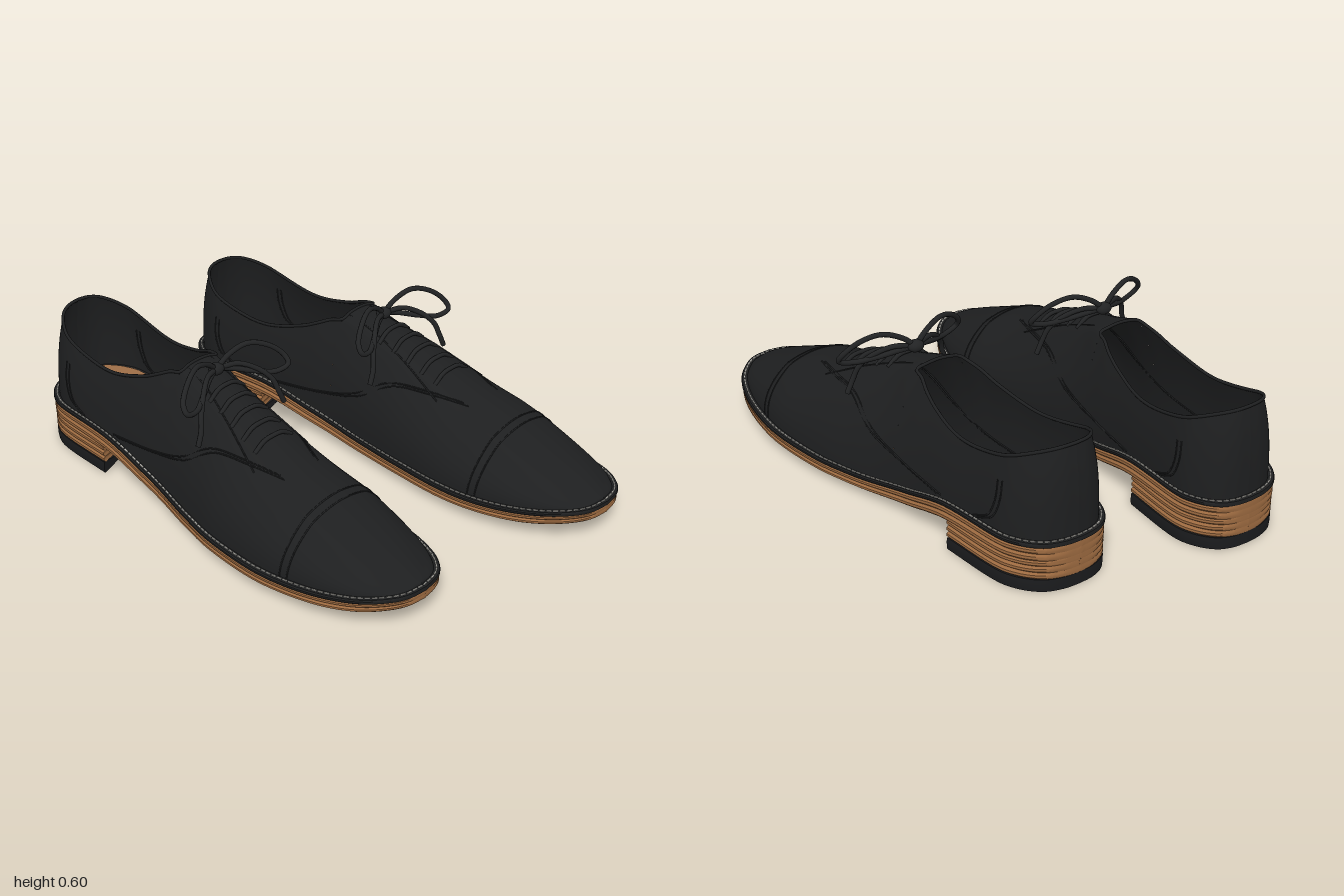
import * as THREE from 'three';
import { mergeGeometries, toCreasedNormals } from 'three/addons/utils/BufferGeometryUtils.js';

const V = (x, y, z) => new THREE.Vector3(x, y, z);
const INSET = 0.02; // upper sits this far inside the welt

function paint(name, color, side = THREE.FrontSide) {
  const m = new THREE.MeshStandardMaterial({ color, side });
  m.name = name;
  return m;
}

// Smooth function through [z, value] pairs
function profile(table) {
  const slope = i => {
    const a = table[Math.max(0, i - 1)], b = table[Math.min(table.length - 1, i + 1)];
    return (b[1] - a[1]) / (b[0] - a[0]);
  };
  return z => {
    const end = table.length - 1;
    if (z <= table[0][0]) return table[0][1];
    if (z >= table[end][0]) return table[end][1];
    let i = 0;
    while (z > table[i + 1][0]) i++;
    const [z0, y0] = table[i], [z1, y1] = table[i + 1], h = z1 - z0, t = (z - z0) / h;
    const e = t * t * (3 - 2 * t);
    return y0 + (y1 - y0) * e + h * t * (1 - t) * ((1 - t) * slope(i) - t * slope(i + 1));
  };
}

// Footprint of one shoe: z, inner x, outer x
const FOOT = [
  [-0.85, 0.3, 0.3], [-0.843, 0.235, 0.368], [-0.815, 0.178, 0.435], [-0.75, 0.133, 0.49],
  [-0.66, 0.116, 0.519], [-0.45, 0.136, 0.535], [-0.24, 0.163, 0.547], [-0.08, 0.175, 0.567],
  [0.08, 0.165, 0.607], [0.24, 0.147, 0.646], [0.45, 0.128, 0.669], [0.6, 0.133, 0.663],
  [0.75, 0.165, 0.636], [0.87, 0.217, 0.59], [0.945, 0.275, 0.53], [0.98, 0.33, 0.474], [0.992, 0.402, 0.402],
];
const foot = new THREE.CatmullRomCurve3(
  FOOT.map(([z, l, r]) => V((l + r) / 2, z, (r - l) / 2)), false, 'catmullrom');

const soleBottom = profile([[-0.85, 0.115], [-0.43, 0.108], [-0.2, 0.06], [0, 0.032], [0.3, 0.031], [0.5, 0.036], [0.78, 0.053], [0.99, 0.085]]);
const weltTop = profile([[-0.85, 0.182], [-0.43, 0.178], [-0.2, 0.125], [0, 0.09], [0.3, 0.085], [0.6, 0.092], [0.8, 0.108], [0.99, 0.132]]);
const collarY = profile([[-0.83, 0.5], [-0.67, 0.445], [-0.53, 0.412], [-0.46, 0.405], [-0.385, 0.41], [-0.255, 0.447], [-0.11, 0.505],
  [0, 0.468], [0.14, 0.422], [0.25, 0.374], [0.41, 0.315], [0.58, 0.27], [0.78, 0.2], [0.9, 0.158], [0.98, 0.13]]);
const ridgeY = profile([[-0.11, 0.52], [0, 0.494], [0.14, 0.453], [0.25, 0.408], [0.41, 0.35], [0.58, 0.3], [0.78, 0.222], [0.9, 0.173], [0.98, 0.132]]);
const collarWidth = profile([[-0.83, 0.78], [-0.7, 0.84], [-0.53, 0.85], [-0.4, 0.83], [-0.3, 0.77], [-0.2, 0.66], [-0.11, 0.49], [0.1, 0.44], [0.3, 0.5], [0.6, 0.56]]);
const lean = profile([[-0.85, 0], [-0.53, -0.013], [-0.3, -0.02], [-0.11, -0.03], [0.1, -0.025], [0.5, 0]]);

function station(t, inset) {
  const p = foot.getPoint(t);
  return { z: 0.07 + (p.y - 0.07) * (1 - inset / 0.92), c: p.x, w: Math.max(0, p.z) * (1 - inset / 0.23) };
}
function tAt(z, inset) {
  let a = 0, b = 1;
  for (let i = 0; i < 30; i++) {
    const m = (a + b) / 2;
    if (station(m, inset).z < z) a = m; else b = m;
  }
  return a;
}

// Indexed surface from a rule at(row, column)
function grid(rows, cols, at) {
  const pos = [], index = [], n = cols + 1;
  for (let i = 0; i <= rows; i++) for (let j = 0; j <= cols; j++) pos.push(...at(i, j).toArray());
  for (let i = 0; i < rows; i++) for (let j = 0; j < cols; j++) {
    const a = i * n + j, b = a + n;
    index.push(a, b, b + 1, a, b + 1, a + 1);
  }
  const g = new THREE.BufferGeometry();
  g.setAttribute('position', new THREE.Float32BufferAttribute(pos, 3));
  g.setIndex(index);
  g.computeVertexNormals();
  return g;
}

// Layer section: [across, up], from the inner edge over the top and back underneath
const SECTION = [[-1, 0], [-1, 0.3], [-1, 0.7], [-1, 1], [-0.6, 1], [-0.2, 1], [0.2, 1], [0.6, 1],
  [1, 1], [1, 0.7], [1, 0.3], [1, 0], [0.6, 0], [0.2, 0], [-0.2, 0], [-0.6, 0], [-1, 0]];

// Footprint-shaped layer with rounded edge, closed at both ends; scoop hollows the front face
function slab(inset, low, high, { to = 1, round = 0.006, scoop = 0 } = {}) {
  const N = 90;
  return toCreasedNormals(grid(N + 2, SECTION.length - 1, (i, j) => {
    const p = Math.min(N, Math.max(0, i - 1)) / N, s = station(to * p, inset);
    const lo = low(s.z), hi = high(s.z), [u, k] = SECTION[j];
    if (i === 0 || i === N + 2) return V(s.c, (lo + hi) / 2, s.z - scoop * p);
    const edge = s.w - (k === 0 || k === 1 ? Math.min(round, s.w) : 0);
    return V(s.c + u * edge, lo + (hi - lo) * k, s.z - scoop * p * p * (1 - u * u));
  }), 0.5);
}

// Upper: |s| = 1 at the welt, 0.4 at the collar, 0 on the ridge
function skin(t, s) {
  const { z, c, w } = station(t, INSET), a = Math.abs(s), g = collarWidth(z);
  const base = weltTop(z) - 0.005, top = collarY(z);
  const k = Math.min(1, (1 - a) / 0.6), q = a / 0.4;
  const f = a >= 0.4 ? 1 - (1 - g) * k ** 2.2 : g * q;
  const y = a >= 0.4 ? base + (top - base) * k : top + (ridgeY(z) - top) * (1 - q * q);
  const back = 0.025 * k ** 3 * THREE.MathUtils.smoothstep(-z, 0.6, 0.83);
  return V(c + lean(z) * k + Math.sign(s) * f * w, y, z + back);
}
const onSkin = (z, s, lift = 0) => skin(tAt(z, INSET), s).add(V(0, lift, 0));

function cord(points, radius, closed = false, segments = 60) {
  return new THREE.TubeGeometry(new THREE.CatmullRomCurve3(points, closed), segments, radius, 8, closed);
}

// Flip a geometry left to right, keeping its faces outward
function mirrored(geometry) {
  const g = geometry.index ? geometry.toNonIndexed() : geometry.clone();
  for (const name of ['position', 'normal']) {
    const a = g.attributes[name].array;
    for (let i = 0; i < a.length; i += 9) for (let k = 0; k < 3; k++)
      [a[i + 3 + k], a[i + 6 + k]] = [a[i + 6 + k], a[i + 3 + k]];
    for (let i = 0; i < a.length; i += 3) a[i] *= -1;
  }
  return g;
}

function shoeParts() {
  const leather = paint('black leather', 0x1e1f20, THREE.DoubleSide);
  const cotton = paint('lace black', 0x222324);
  const rubber = paint('heel rubber', 0x1a1b1d);
  const wood = paint('stacked brown', 0x9c6a40);
  const tan = paint('insole tan', 0x9e6e47);
  const thread = paint('welt thread', 0xb9b7b0);
  const parts = [];
  const add = (name, geometry, material) => parts.push({ name, geometry, material });

  // Sole, welt and stacked heel
  const mid = z => (soleBottom(z) + weltTop(z) - 0.016) / 2;
  const weltLow = z => weltTop(z) - 0.016;
  add('outsole', slab(0.003, soleBottom, mid, { round: 0.008 }), wood);
  add('midsole', slab(0.003, mid, weltLow, { round: 0.008 }), wood);
  add('welt', slab(0, weltLow, weltTop, { round: 0.004 }), leather);
  const heel = { to: tAt(-0.43, 0.004), scoop: 0.05 };
  add('heelTip', slab(0.004, () => 0, () => 0.045, { ...heel, round: 0.002 }), rubber);
  for (let i = 0; i < 3; i++)
    add('heelLayer' + (i + 1), slab(0.004, () => 0.045 + i * 0.024, () => 0.069 + i * 0.024, { ...heel, round: 0.01 }), wood);
  add('insole', slab(0.035, z => weltTop(z) - 0.004, z => weltTop(z) + 0.008, { to: tAt(0.2, 0.035) }), tan);

  // Welt stitching
  const ring = [];
  for (let i = 0; i < 160; i++) {
    const u = i / 80, s = station(u < 1 ? u : 2 - u, 0.012);
    ring.push(V(s.c + (u < 1 ? s.w : -s.w), weltTop(s.z) + 0.001, s.z));
  }
  const path = new THREE.CatmullRomCurve3(ring, true), dashes = [], aim = new THREE.Object3D();
  for (let i = 0; i < 180; i++) {
    aim.position.copy(path.getPointAt(i / 180));
    aim.lookAt(aim.position.clone().add(path.getTangentAt(i / 180)));
    aim.updateMatrix();
    dashes.push(new THREE.BoxGeometry(0.005, 0.005, 0.017).applyMatrix4(aim.matrix));
  }
  add('weltStitching', mergeGeometries(dashes), thread);

  // Vamp and the two quarters around the opening
  const throat = tAt(-0.11, INSET);
  add('vamp', grid(80, 48, (i, j) => skin(throat + (1 - throat) * i / 80, -1 + j / 24)), leather);
  for (const [name, s0] of [['innerQuarter', -1], ['outerQuarter', 0.4]])
    add(name, grid(60, 14, (i, j) => skin(throat * i / 60, s0 + 0.6 * j / 14)), leather);

  // Rolled collar edge
  const rim = [];
  for (let i = 0; i <= 24; i++) rim.push(skin(throat * (1 - i / 24), -0.4));
  for (let i = 1; i <= 24; i++) rim.push(skin(throat * i / 24, 0.4));
  for (const s of [0.2, 0, -0.2]) rim.push(skin(throat, s));
  add('collarEdge', cord(rim, 0.006, true, 160), leather);

  // Raised seams: toe cap, vamp, heel counter and facings
  const seam = pts => cord(pts.map(([z, s]) => onSkin(z, s)), 0.0028);
  const seams = [];
  for (const z of [0.57, 0.6]) {
    const pts = [];
    for (let i = 0; i <= 16; i++) pts.push([z + 0.015 * (1 - (i / 8 - 1) ** 2), -0.99 + 1.98 * i / 16]);
    seams.push(seam(pts));
  }
  for (const m of [-1, 1]) {
    const side = pts => seams.push(seam(pts.map(([z, s]) => [z, s * m])));
    for (const d of [0, 0.02]) {
      side([[-0.38, 0.96], [-0.17, 0.85], [0, 0.73], [0.14, 0.54], [0.28, 0.42], [0.42, 0.25]].map(([z, s]) => [z + d, s]));
      side([[-0.67, 0.59], [-0.668, 0.75], [-0.64, 0.9], [-0.57, 0.98]].map(([z, s]) => [z + d, s]));
    }
    side([[-0.11, 0.25], [0, 0.28], [0.15, 0.36], [0.34, 0.42]]);
  }
  add('seams', mergeGeometries(seams), leather);

  // Lace rungs, knot, bow loops and tails
  const laces = [];
  for (let i = 0; i < 5; i++) {
    const z = 0.05 + i * 0.062, e = 0.38 - i * 0.02;
    laces.push(cord([-1, -0.5, 0, 0.5, 1].map(k => onSkin(z, k * e, Math.abs(k) === 1 ? -0.004 : 0.01)), 0.008, false, 16));
  }
  add('laceRungs', mergeGeometries(laces), cotton);
  const cx = 0.355, knot = V(cx, 0.53, 0);
  add('bowKnot', new THREE.SphereGeometry(0.028, 16, 12).scale(1.1, 0.8, 0.9).translate(cx, 0.53, 0), cotton);
  for (const [m, side] of [[-1, 'inner'], [1, 'outer']]) {
    const p = ([x, y, z]) => V(cx + m * x, y, z);
    add(side + 'BowLoop', cord([knot, ...[[0.05, 0.57, 0.01], [0.12, 0.594, 0.03], [0.19, 0.572, 0.06], [0.24, 0.525, 0.09],
      [0.242, 0.496, 0.11], [0.19, 0.482, 0.1], [0.12, 0.497, 0.06], [0.05, 0.52, 0.02]].map(p), knot], 0.0095), cotton);
    add(side + 'LaceTail', cord([knot, ...[[0.07, 0.535, 0.03], [0.13, 0.505, 0.07], [0.17, 0.46, 0.1], [0.187, 0.41, 0.115], [0.208, 0.36, 0.12]].map(p)], 0.0095), cotton);
  }
  return parts;
}

export function createModel() {
  const model = new THREE.Group();
  model.name = 'pairOfShoes';
  const left = new THREE.Group(), right = new THREE.Group();
  left.name = 'leftShoe';
  right.name = 'rightShoe';
  right.position.z = -0.145;
  for (const { name, geometry, material } of shoeParts()) {
    const a = new THREE.Mesh(geometry, material), b = new THREE.Mesh(mirrored(geometry), material);
    a.name = b.name = name;
    left.add(a);
    right.add(b);
  }
  model.add(left, right);
  return model;
}
